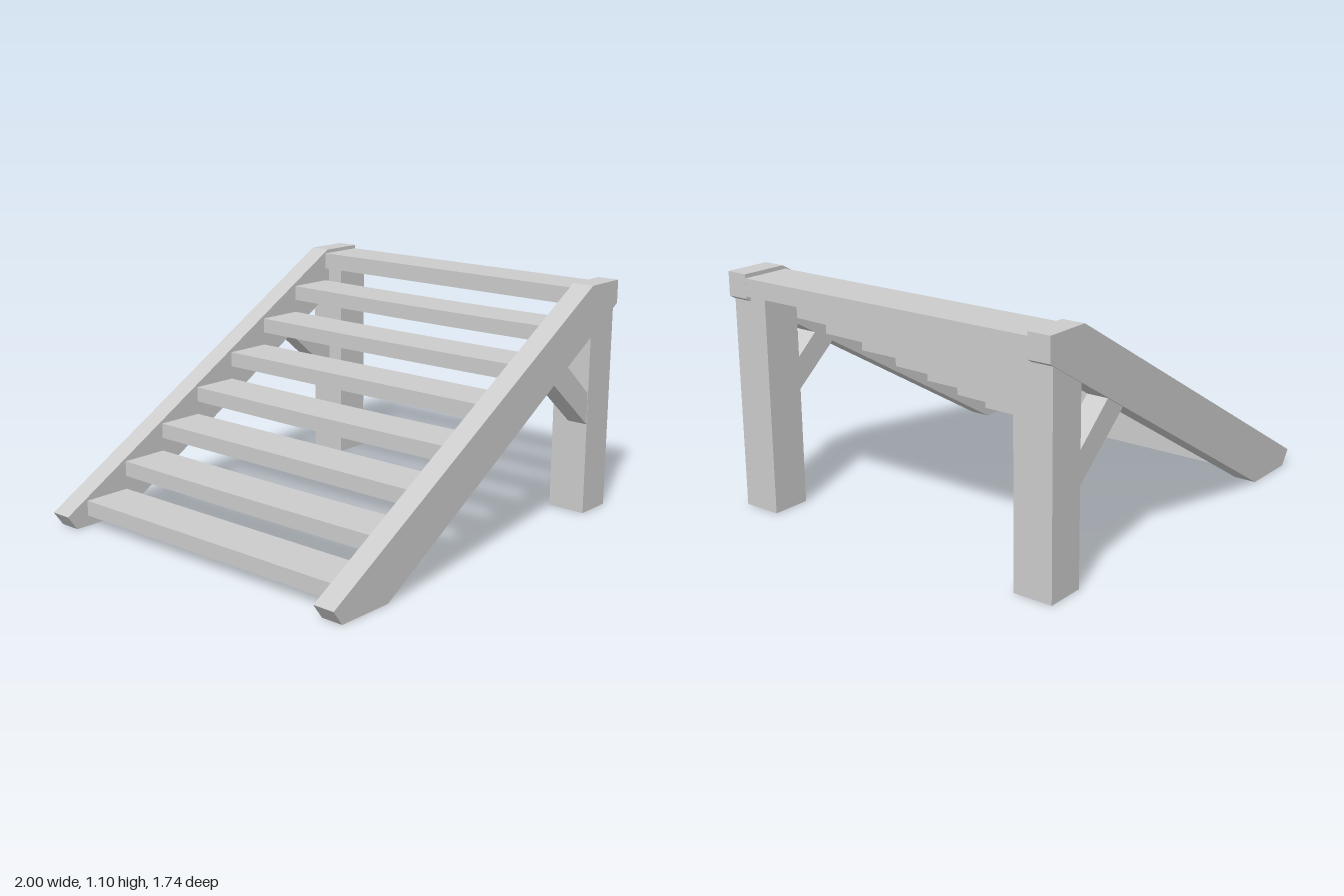
import * as THREE from 'three';

const material = new THREE.MeshStandardMaterial({ color: 0xcccccc, flatShading: true });

// Side profile in x/y, extruded between two z positions
function slab(name, points, z0, z1) {
  const shape = new THREE.Shape(points.map(([x, y]) => new THREE.Vector2(x, y)));
  const geometry = new THREE.ExtrudeGeometry(shape, { depth: z1 - z0, bevelEnabled: false });
  geometry.translate(0, 0, z0);
  const mesh = new THREE.Mesh(geometry, material);
  mesh.name = name;
  return mesh;
}

// Flat plank between the stringers, slightly bowed along its length
function tread(index, bow) {
  const height = index === 7 ? 0.08 : 0.072;
  const geometry = new THREE.BoxGeometry(0.236, height, 1.53, 1, 1, bow ? 6 : 1);
  const pos = geometry.attributes.position;
  for (let i = 0; i < pos.count; i++) {
    const sag = bow * Math.cos((pos.getZ(i) / 0.765) * Math.PI / 2);
    pos.setX(i, pos.getX(i) + sag);
    pos.setY(i, pos.getY(i) - sag);
  }
  const mesh = new THREE.Mesh(geometry, material);
  mesh.position.set(-0.885 + 0.118 + index * 0.2355, 0.05 + index * 0.136 + height / 2, 0);
  mesh.name = 'tread' + (index + 1);
  return mesh;
}

export function createModel() {
  const group = new THREE.Group();
  group.name = 'woodenStairs';

  const stringer = [[-1, 0.07], [-0.95, 0], [-0.67, 0], [1, 0.99], [1, 1.1], [0.78, 1.1]];
  const post = [[0.79, 0], [0.975, 0], [0.975, 1], [0.79, 1]];
  const brace = [[0.49, 0.69], [0.79, 0.44], [0.79, 0.59], [0.6, 0.755]];

  // Side frames: sloping stringer, rear post and diagonal brace
  for (const side of [1, -1]) {
    const add = (name, points, inner, outer) => group.add(
      slab((side > 0 ? 'front' : 'back') + name, points, side > 0 ? inner : -outer, side > 0 ? outer : -inner));
    add('Stringer', stringer, 0.762, 0.868);
    add('Post', post, 0.675, 0.862);
    add('Brace', brace, 0.76, 0.86);
  }

  // Eight treads, some a little worn
  [0, 0.006, 0, 0.006, 0, 0.005, 0.006, 0].forEach((bow, i) => group.add(tread(i, bow)));

  return group;
}
